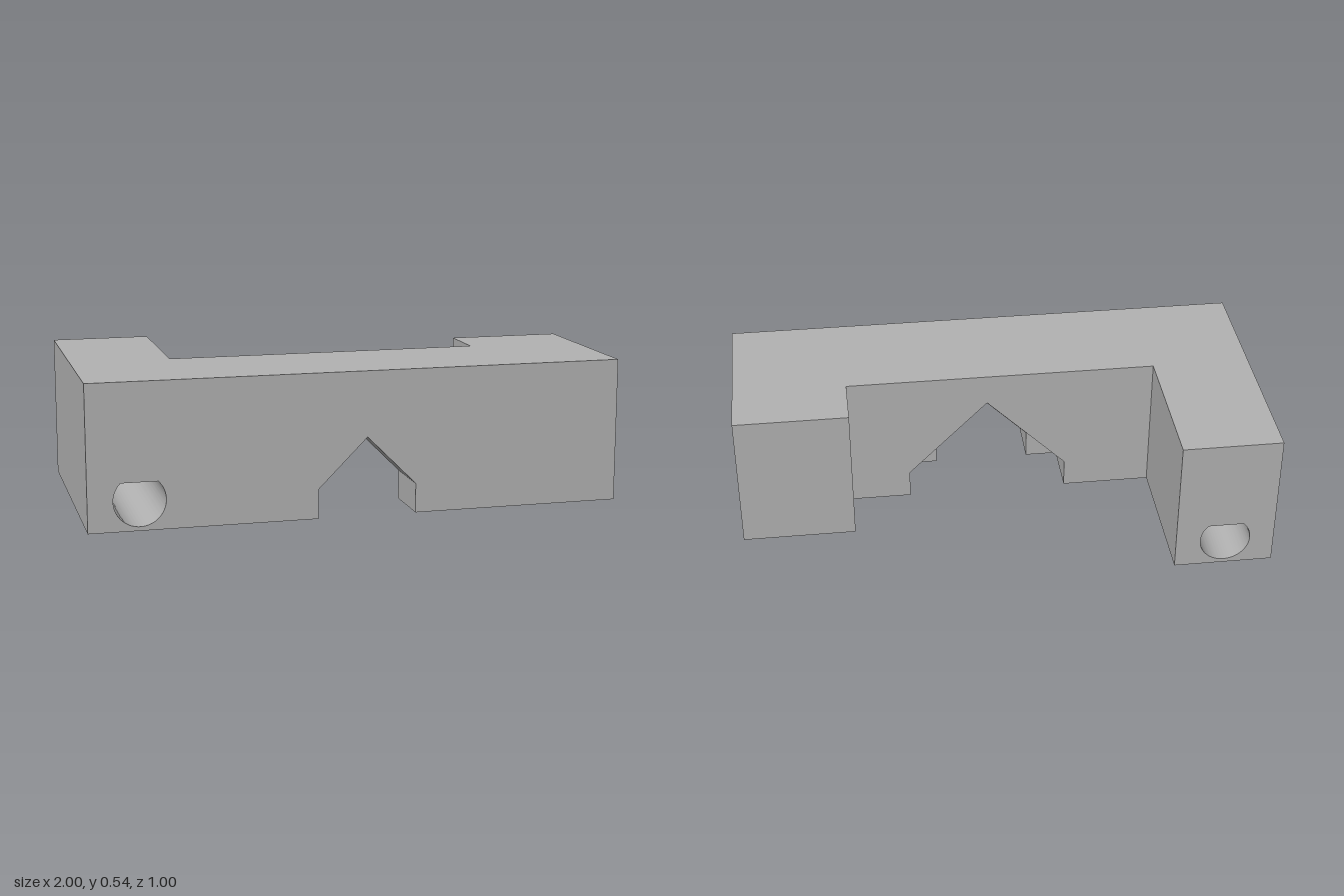
import * as THREE from 'three';
import { toCreasedNormals } from 'three/addons/utils/BufferGeometryUtils.js';

const HEIGHT = 0.54;
const NOTCH_X = 0.025;
const HOLE = { x: -0.813, y: 0.11, r: 0.095 };

// Teardrop opening: a circle whose 45-degree tangents meet in a point above it
function teardrop() {
  const { x, y, r } = HOLE;
  const path = new THREE.Path();
  path.moveTo(x, y + r * Math.SQRT2);
  path.absarc(x, y, r, Math.PI * 0.75, Math.PI * 2.25, false);
  path.closePath();
  return path;
}

// Block outline seen from the front, optionally with a gabled notch in its base
function outline(x0, x1, notchHalf = 0) {
  const pts = [[x0, 0]];
  if (notchHalf) {
    const wall = 0.11;
    pts.push(
      [NOTCH_X - notchHalf, 0], [NOTCH_X - notchHalf, wall],
      [NOTCH_X, wall + notchHalf],
      [NOTCH_X + notchHalf, wall], [NOTCH_X + notchHalf, 0]);
  }
  pts.push([x1, 0], [x1, HEIGHT], [x0, HEIGHT]);
  return new THREE.Shape(pts.map(([x, y]) => new THREE.Vector2(x, y)));
}

export function createModel() {
  const model = new THREE.Group();
  model.name = 'bracket';
  const grey = new THREE.MeshStandardMaterial({ color: 0xb2b2b2 });
  grey.name = 'grey';

  // Extrude an outline between two depths
  function slab(name, shape, zBack, zFront, hasHole) {
    if (hasHole) shape.holes.push(teardrop());
    const geo = new THREE.ExtrudeGeometry(shape, {
      depth: zFront - zBack, bevelEnabled: false, curveSegments: 40,
    });
    geo.translate(0, 0, zBack);
    const mesh = new THREE.Mesh(toCreasedNormals(geo, 0.5), grey);
    mesh.name = name;
    model.add(mesh);
  }

  // Crossbar: narrow notch in front, wider notch behind it
  slab('crossbarFront', outline(-1, 1, 0.185), 0.28, 0.5, true);
  slab('crossbarBack', outline(-1, 1, 0.31), 0.063, 0.28, true);

  // Legs reaching backwards; the bore runs on through the long one
  slab('longLeg', outline(-1, -0.625), -0.5, 0.063, true);
  slab('shortLeg', outline(0.567, 1), -0.148, 0.063, false);

  return model;
}
